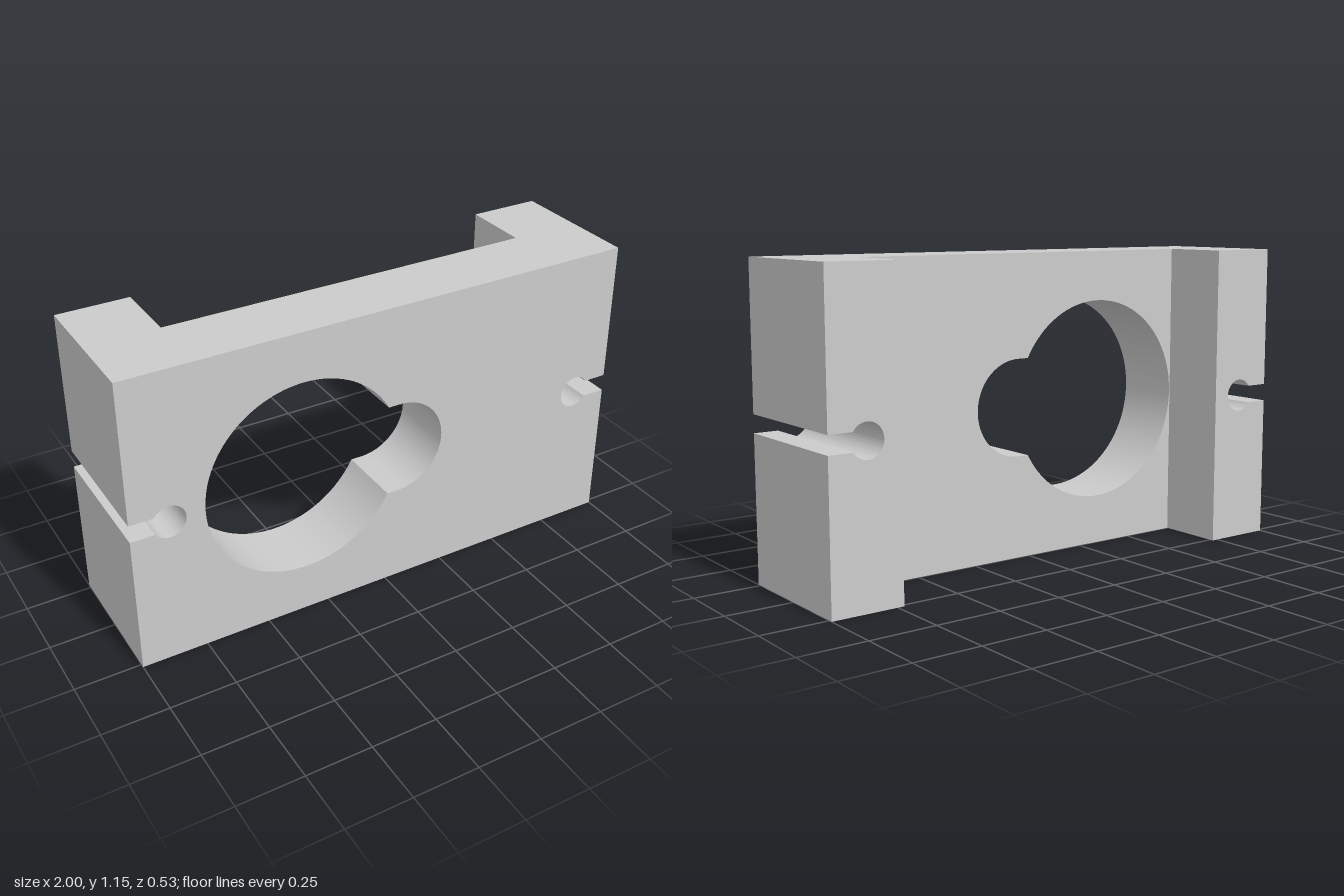
import * as THREE from 'three';
import { toCreasedNormals } from 'three/addons/utils/BufferGeometryUtils.js';

const HEIGHT = 1.155, MID = HEIGHT / 2, DEPTH = 0.265, INNER = 0.725;

// Drop the triangles hidden where two parts meet, then smooth the curved walls.
function trimmed(geometry, isHidden) {
  const p = geometry.attributes.position, kept = [], c = new THREE.Vector3(), v = new THREE.Vector3();
  for (let i = 0; i < p.count; i += 3) {
    const tri = [0, 1, 2].map((k) => new THREE.Vector3().fromBufferAttribute(p, i + k));
    c.set(0, 0, 0);
    tri.forEach((t) => c.addScaledVector(t, 1 / 3));
    if (!isHidden(c)) tri.forEach((t) => kept.push(v.copy(t).x, v.y, v.z));
  }
  const out = new THREE.BufferGeometry();
  out.setAttribute('position', new THREE.Float32BufferAttribute(kept, 3));
  return toCreasedNormals(out, Math.PI / 6);
}

const atJoint = (c) => Math.abs(Math.abs(c.x) - INNER) < 1e-4;

// Front plate between the blocks, pierced by a large circle merged with a small one
function plateGeometry() {
  const shape = new THREE.Shape([
    new THREE.Vector2(-INNER, 0), new THREE.Vector2(INNER, 0),
    new THREE.Vector2(INNER, HEIGHT), new THREE.Vector2(-INNER, HEIGHT),
  ]);
  const bigR = 0.387, smallR = 0.185, a = Math.asin(smallR / bigR);
  const hole = new THREE.Path();
  hole.absarc(-0.335, MID, bigR, a, Math.PI * 2 - a, false);
  hole.absarc(0.05, MID, smallR, -Math.PI / 2, Math.PI / 2, false);
  hole.closePath();
  shape.holes.push(hole);
  const g = new THREE.ExtrudeGeometry(shape, { depth: DEPTH, bevelEnabled: false, curveSegments: 48 });
  return trimmed(g, atJoint);
}

// End block with a keyhole slot open to the outside; side is +1 or -1
function blockGeometry(side) {
  const slot = 0.0335, r = 0.063, a = Math.asin(slot / r);
  const outline = new THREE.Shape();
  outline.moveTo(INNER, 0);
  outline.lineTo(1, 0);
  outline.lineTo(1, MID - slot);
  outline.absarc(0.855, MID, r, -a, a, true);
  outline.lineTo(1, MID + slot);
  outline.lineTo(1, HEIGHT);
  outline.lineTo(INNER, HEIGHT);
  const shape = new THREE.Shape(outline.getPoints(32).map((q) => new THREE.Vector2(q.x * side, q.y)));
  const g = new THREE.ExtrudeGeometry(shape, { depth: DEPTH * 2, steps: 2, bevelEnabled: false });
  g.translate(0, 0, -DEPTH);
  return trimmed(g, (c) => atJoint(c) && c.z > 0);
}

export function createModel() {
  const group = new THREE.Group();
  group.name = 'mountingBracket';
  const material = new THREE.MeshStandardMaterial({ color: 0xcccccc });
  const add = (name, geometry) => {
    const mesh = new THREE.Mesh(geometry, material);
    mesh.name = name;
    group.add(mesh);
  };
  add('frontPlate', plateGeometry());
  add('leftBlock', blockGeometry(1));
  add('rightBlock', blockGeometry(-1));
  return group;
}
